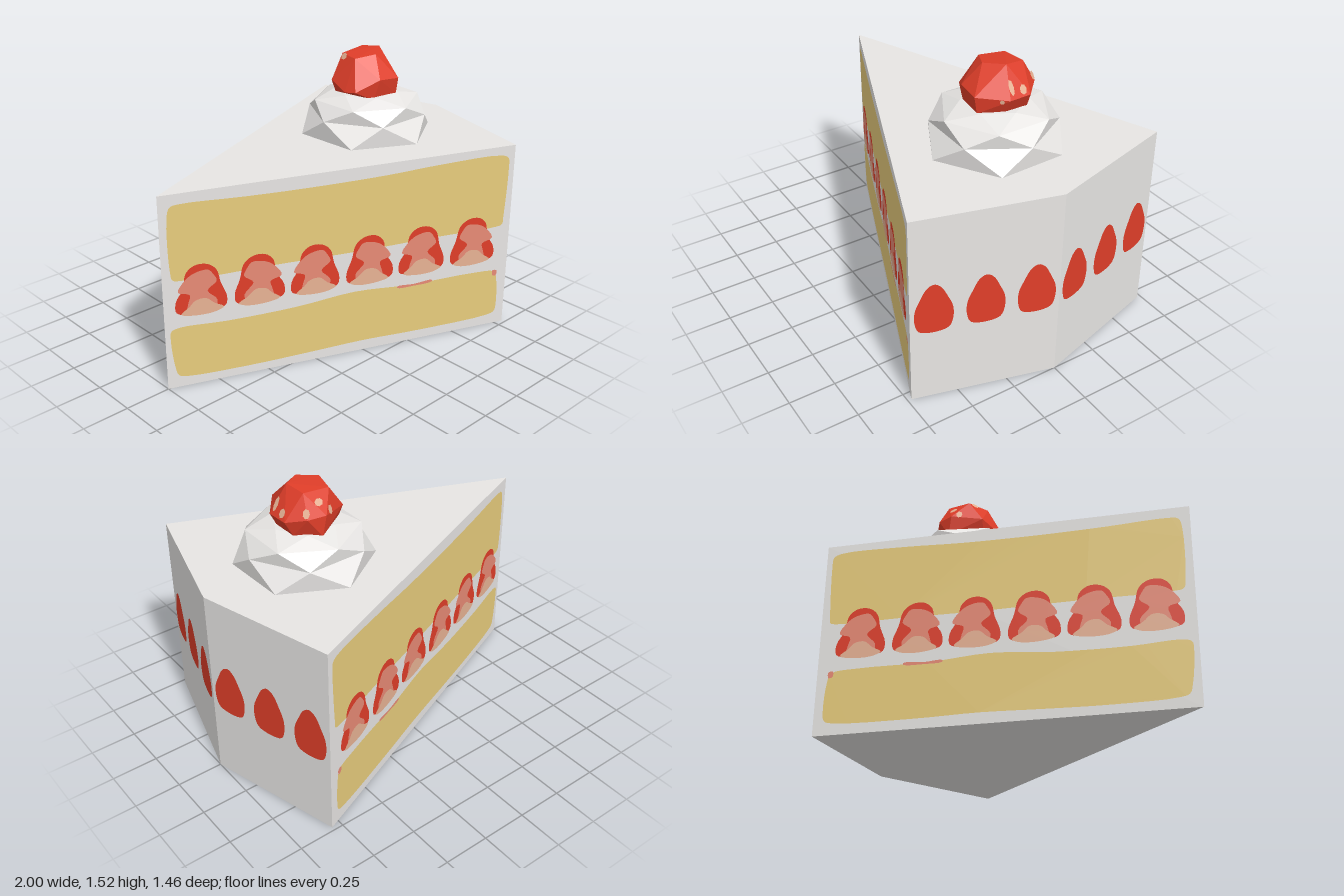
import * as THREE from 'three';
import { ConvexGeometry } from 'three/addons/geometries/ConvexGeometry.js';

const material = (name, color, flatShading = false) => {
  const m = new THREE.MeshStandardMaterial({ color, flatShading });
  m.name = name;
  return m;
};

export function createModel() {
  const white = material('cream white', 0xf3f1ef);
  const gold = material('sponge gold', 0xeed280);
  const red = material('berry red', 0xe03e29);
  const pink = material('berry pink', 0xf0907a);
  const pale = material('berry pale pink', 0xf8bf9f);

  const model = new THREE.Group();
  model.name = 'cakeSlice';
  const add = (parent, name, geometry, mat) => {
    const mesh = new THREE.Mesh(geometry, mat);
    mesh.name = name;
    parent.add(mesh);
    return mesh;
  };

  // Wedge-shaped body
  const H = 1.07, TIP = [-1, 0], LEFT = [0.8, 0.73], REAR = [1, 0], RIGHT = [0.8, -0.73];
  const outline = new THREE.Shape([TIP, RIGHT, REAR, LEFT].map(p => new THREE.Vector2(...p)));
  const body = new THREE.ExtrudeGeometry(outline, { depth: H, bevelEnabled: false });
  body.rotateX(-Math.PI / 2);
  add(model, 'cakeBody', body, white);

  // A group lying on the wall from a to b: local x along it, z outward
  const wall = (name, a, b) => {
    const g = new THREE.Group();
    g.name = name;
    g.position.set(a[0], 0, a[1]);
    g.rotation.y = Math.atan2(a[1] - b[1], b[0] - a[0]);
    g.userData.length = Math.hypot(b[0] - a[0], b[1] - a[1]);
    model.add(g);
    return g;
  };
  // Thin painted patch with a smooth closed outline
  const patch = (parent, name, points, mat, layer) => {
    const curve = new THREE.CatmullRomCurve3(
      points.map(([x, y]) => new THREE.Vector3(x, y, 0)), true, 'centripetal');
    const shape = new THREE.Shape(curve.getPoints(points.length * 4).map(p => new THREE.Vector2(p.x, p.y)));
    const mesh = add(parent, name, new THREE.ShapeGeometry(shape), mat);
    mesh.position.z = 0.002 * layer;
  };

  // Sponge layers and sliced berries, x running from the tip to the rim
  const upperSponge = [[-0.96, 0.66], [-0.95, 0.615], [-0.9, 0.605], [-0.5, 0.605], [0, 0.6], [0.4, 0.605],
    [0.72, 0.605], [0.755, 0.615], [0.76, 0.66], [0.77, 0.95], [0.765, 1.0], [0.73, 1.02], [0.4, 1.02],
    [0.1, 1.005], [-0.3, 1.0], [-0.6, 1.005], [-0.9, 1.015], [-0.945, 1.005], [-0.96, 0.96]];
  const lowerSponge = [[-0.96, 0.12], [-0.945, 0.07], [-0.9, 0.055], [-0.6, 0.045], [-0.3, 0.05], [0, 0.058],
    [0.3, 0.052], [0.7, 0.06], [0.745, 0.075], [0.755, 0.12], [0.745, 0.29], [0.73, 0.33], [0.6, 0.345],
    [0.25, 0.345], [-0.05, 0.365], [-0.35, 0.34], [-0.7, 0.335], [-0.93, 0.345], [-0.97, 0.33], [-0.975, 0.28]];
  const jamStreak = [[0.18, 0.34], [0.27, 0.336], [0.37, 0.342], [0.37, 0.352], [0.27, 0.347], [0.18, 0.35]];
  const jamDot = [[0.72, 0.34], [0.72, 0.31], [0.74, 0.305], [0.743, 0.335]];
  const berrySkin = [[-0.12, 0.43], [-0.06, 0.41], [0.06, 0.41], [0.115, 0.43], [0.122, 0.48],
    [0.095, 0.56], [0.075, 0.64], [0.03, 0.677], [-0.03, 0.677], [-0.07, 0.64], [-0.085, 0.56], [-0.122, 0.49]];
  const berryFlesh = [[-0.07, 0.42], [0.06, 0.42], [0.075, 0.47], [0.03, 0.53], [0.075, 0.575], [0.06, 0.615],
    [0.035, 0.645], [-0.035, 0.635], [-0.08, 0.6], [-0.11, 0.545], [-0.055, 0.52], [-0.065, 0.47]];
  const berryCore = [[-0.1, 0.42], [-0.05, 0.404], [0.06, 0.404], [0.105, 0.425], [0.06, 0.455], [0.02, 0.49],
    [-0.03, 0.485], [-0.06, 0.455]];

  for (const [name, a, b, mirrored] of [['frontCut', TIP, LEFT, false], ['backCut', RIGHT, TIP, true]]) {
    const g = wall(name, a, b);
    const L = g.userData.length;
    const map = pts => pts.map(([x, y]) => {
      const s = (x + 1) / 1.8 * L;
      return [mirrored ? L - s : s, y];
    });
    patch(g, 'upperSponge', map(upperSponge), gold, 1);
    patch(g, 'lowerSponge', map(lowerSponge), gold, 1);
    patch(g, 'jamStreak', map(jamStreak), pink, 2);
    patch(g, 'jamDot', map(jamDot), pink, 2);
    for (let i = 0; i < 6; i++) {
      const flip = i % 2 ? -1 : 1, cx = -0.82 + i * 0.282;
      const at = pts => map(pts.map(([x, y]) => [cx + flip * x, y]));
      patch(g, 'berrySkin', at(berrySkin), red, 2);
      patch(g, 'berryFlesh', at(berryFlesh), pink, 3);
      patch(g, 'berryCore', at(berryCore), pale, 4);
    }
  }

  // Whole berries on the two rim walls
  const drop = [[0, 0.695], [0.035, 0.675], [0.07, 0.61], [0.094, 0.55], [0.096, 0.48], [0.075, 0.425], [0, 0.408],
    [-0.075, 0.425], [-0.096, 0.48], [-0.094, 0.55], [-0.07, 0.61], [-0.035, 0.675]];
  for (const [name, a, b] of [['leftRim', LEFT, REAR], ['rightRim', REAR, RIGHT]]) {
    const g = wall(name, a, b);
    for (const z of [0.115, 0.365, 0.615]) {
      const f = z / 0.73, s = (a === REAR ? f : 1 - f) * g.userData.length;
      patch(g, 'rimBerry', drop.map(([x, y]) => [s + x, y]), red, 1);
    }
  }

  // Twisted whipped cream: stacked six-sided rings
  const CX = 0.41;
  const rings = [[0.365, 1.07, -32], [0.325, 1.18, 0], [0.29, 1.255, 30], [0.17, 1.295, 58], [0, 1.3, 88]];
  const corner = ([r, y, deg], k) => {
    const t = (deg + 60 * k) * Math.PI / 180;
    return new THREE.Vector3(CX + r * Math.cos(t), y, r * Math.sin(t));
  };
  const tris = [];
  for (let j = 0; j + 1 < rings.length; j++) {
    for (let k = 0; k < 6; k++) {
      const p = corner(rings[j], k), q = corner(rings[j], k + 1);
      const r = corner(rings[j + 1], k), s = corner(rings[j + 1], k + 1);
      tris.push(p, r, q);
      if (rings[j + 1][0] > 0) tris.push(r, s, q);
    }
  }
  const cream = new THREE.BufferGeometry().setFromPoints(tris);
  cream.computeVertexNormals();
  add(model, 'whippedCream', cream, white);

  // Faceted strawberry on top
  const berryPoints = [
    [0.5, 1.52, 0], [0.48, 1.505, -0.11], [0.33, 1.49, -0.11], [0.295, 1.49, 0.02], [0.4, 1.505, 0.07],
    [0.58, 1.37, -0.09], [0.585, 1.37, 0.03], [0.48, 1.38, 0.165], [0.35, 1.39, 0.155], [0.23, 1.33, 0.09],
    [0.22, 1.32, 0.02], [0.24, 1.36, -0.1], [0.4, 1.39, -0.185], [0.5, 1.39, -0.17],
    [0.48, 1.29, 0.15], [0.33, 1.28, 0.13], [0.25, 1.3, -0.08], [0.42, 1.28, -0.18], [0.55, 1.3, 0.03], [0.54, 1.29, -0.1],
  ].map(p => new THREE.Vector3(...p));
  const strawberry = add(model, 'strawberry', new ConvexGeometry(berryPoints), red);
  strawberry.updateMatrixWorld(true);

  // Pale flecks laid on the strawberry's facets
  const centre = new THREE.Vector3(CX, 1.4, 0);
  const flecks = [[1, 0.15, 0.06, 0.014, 0.04], [1, 0, -0.35, 0.02, 0.025], [1, -0.25, 0.4, 0.012, 0.012],
    [-0.6, 0.5, -0.5, 0.025, 0.02], [0.05, 0.35, -1, 0.025, 0.02], [0.5, 0.1, -0.9, 0.018, 0.025],
    [-0.3, 0, -1, 0.018, 0.025]];
  for (const [x, y, z, w, h] of flecks) {
    const dir = new THREE.Vector3(x, y, z).normalize();
    const start = centre.clone().addScaledVector(dir, 1);
    const hit = new THREE.Raycaster(start, dir.clone().negate()).intersectObject(strawberry)[0];
    if (!hit) continue;
    const fleck = add(model, 'strawberryFleck', new THREE.CircleGeometry(1, 7), pale);
    fleck.scale.set(w, h, 1);
    fleck.position.copy(hit.point).addScaledVector(hit.face.normal, 0.003);
    fleck.lookAt(fleck.position.clone().add(hit.face.normal));
  }
  return model;
}
